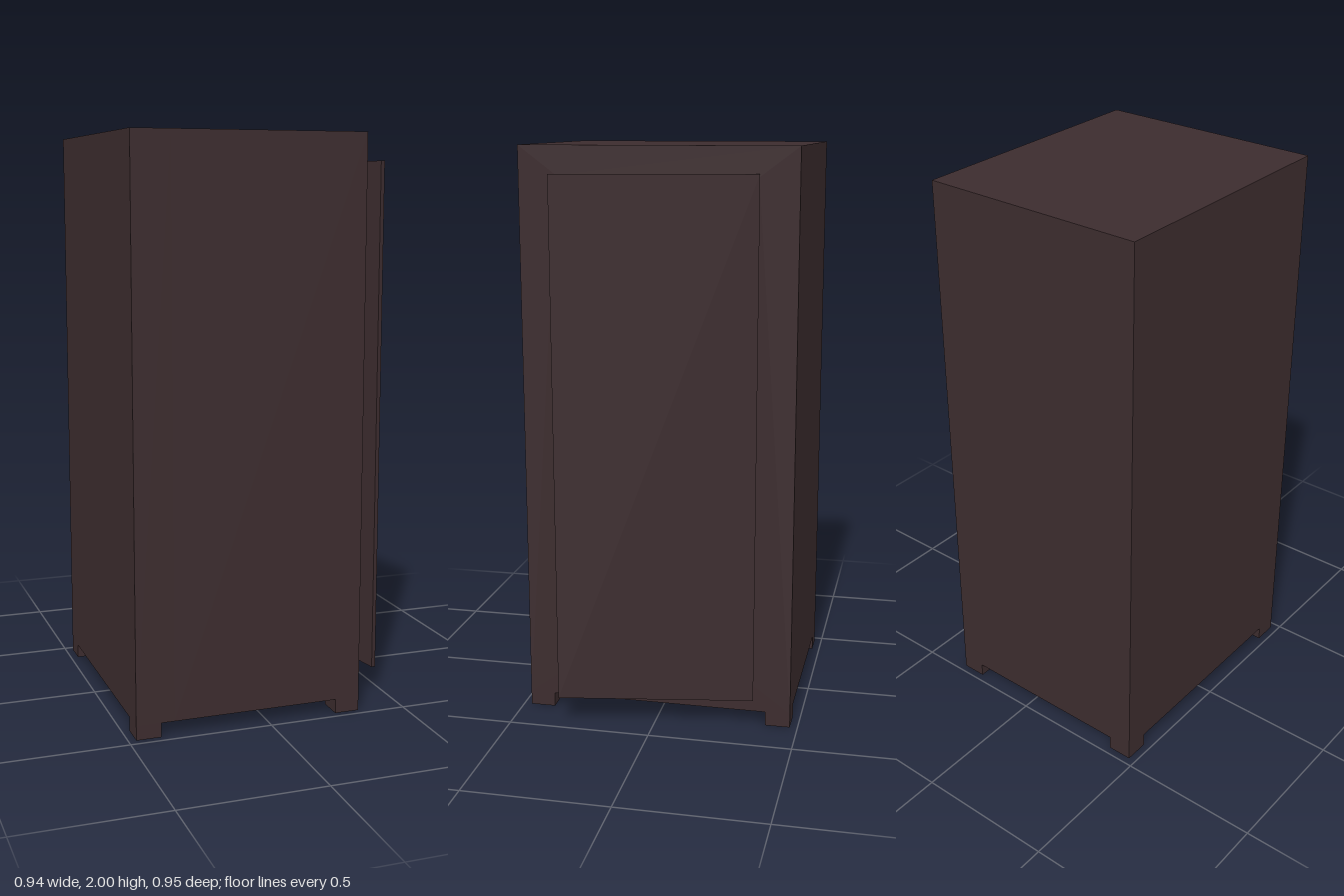
import * as THREE from 'three';

export function createModel() {
  const root = new THREE.Group();
  root.name = 'cabinet';
  const wood = new THREE.MeshStandardMaterial({ color: 0x3c2c2e });
  wood.name = 'dark brown wood';

  const add = (name, geometry, x, y, z) => {
    const mesh = new THREE.Mesh(geometry, wood);
    mesh.name = name;
    mesh.position.set(x, y, z);
    root.add(mesh);
    return mesh;
  };
  // Box given by its minimum and maximum on each axis
  const box = (name, x0, x1, y0, y1, z0, z1) =>
    add(name, new THREE.BoxGeometry(x1 - x0, y1 - y0, z1 - z0),
      (x0 + x1) / 2, (y0 + y1) / 2, (z0 + z1) / 2);
  const rect = (path, w, y0, y1) =>
    path.moveTo(-w, y0).lineTo(w, y0).lineTo(w, y1).lineTo(-w, y1).closePath();

  const back = -0.473, front = 0.338, half = 0.473;
  const base = 0.05, height = 2, foot = 0.088;
  const inner = 0.34, floor = 0.147, ceiling = 1.9, innerBack = -0.34;

  // Thick hollow carcass, open towards the door
  const outline = new THREE.Shape();
  rect(outline, half, base, height);
  const opening = new THREE.Path();
  rect(opening, inner, floor, ceiling);
  outline.holes.push(opening);
  const carcass = new THREE.ExtrudeGeometry(outline, { depth: front - innerBack, bevelEnabled: false });
  carcass.rotateY(Math.PI / 2);
  add('carcass', carcass, innerBack, 0, 0);
  box('backPanel', back, innerBack, base, height, -half, half);

  // Shelf halfway up
  box('shelf', innerBack, front - 0.002, 0.943, 0.983, -inner, inner);

  // Square corner feet
  for (const x of [back, front - foot])
    for (const z of [-half, half - foot])
      box('foot', x, x + foot, 0, base, z, z + foot);

  // Door standing slightly ajar
  const door = add('door', new THREE.BoxGeometry(0.015, 1.815, 0.684), 0.405, 1.003, -0.006);
  door.rotation.y = 0.171;

  return root;
}
